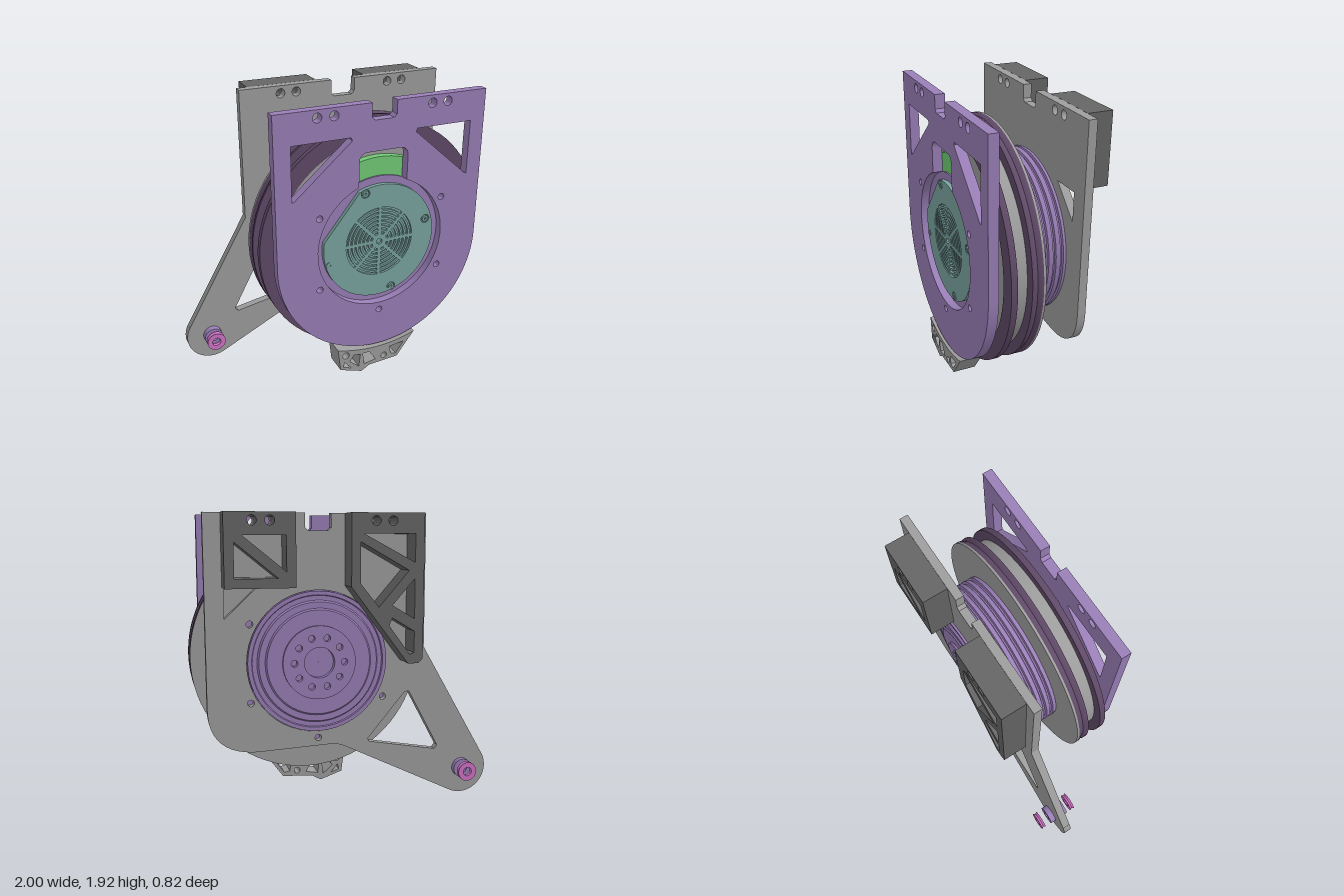
import * as THREE from 'three';
import { toCreasedNormals } from 'three/addons/utils/BufferGeometryUtils.js';

const CX = 0.2, CY = 0.98; // main axle

function mat(name, color) {
  const m = new THREE.MeshStandardMaterial({ color });
  m.name = name;
  return m;
}

export function createModel() {
  const root = new THREE.Group();
  const purple = mat('purple', 0x9a7fb8);
  const plum = mat('plum', 0x604a68);
  const gray = mat('gray', 0x9e9e9e);
  const darkGray = mat('darkGray', 0x666666);
  const green = mat('green', 0x72cc76);
  const teal = mat('teal', 0x7ba5a1);
  const pink = mat('pink', 0xd273c8);

  const add = (name, geo, material) => {
    const mesh = new THREE.Mesh(toCreasedNormals(geo, 0.5), material);
    mesh.name = name;
    root.add(mesh);
    return mesh;
  };
  const poly = (pts) => new THREE.Path(pts.map(([x, y]) => new THREE.Vector2(x, y)));
  const circle = (x, y, r) => new THREE.Path().absarc(x, y, r, 0, Math.PI * 2, false);
  // flat part cut from an outline, lying between z0 and z1
  const plate = (name, material, outline, holes, z0, z1) => {
    const s = new THREE.Shape(outline.getPoints(40));
    s.holes = holes;
    const g = new THREE.ExtrudeGeometry(s, { depth: z1 - z0, bevelEnabled: false, curveSegments: 24 });
    return add(name, g.translate(0, 0, z0), material);
  };
  // turned part about z; profile is [radius, z], counter-clockwise
  const turned = (name, material, profile, x = CX, y = CY, seg = 80) => {
    const g = new THREE.LatheGeometry(profile.map(([r, z]) => new THREE.Vector2(r, z)), seg);
    return add(name, g.rotateX(Math.PI / 2).translate(x, y, 0), material);
  };
  const ring = (name, material, ri, ro, z0, z1, x, y, seg) =>
    turned(name, material, [[ri, z0], [ro, z0], [ro, z1], [ri, z1], [ri, z0]], x, y, seg);
  const polar = (r, a) => [CX + r * Math.cos(a), CY + r * Math.sin(a)];
  const mirror = (pts) => pts.map(([x, y]) => [2 * CX - x, y]);

  const topHoles = () => [-0.25, -0.14, 0.53, 0.64].map((x) => circle(x, 1.88, 0.03));
  const boltHoles = (r) => [1, 5, 7, 9, 11].map((k) => circle(...polar(r, k * Math.PI / 6), 0.022));
  // top edge with the central notch, right to left
  const topEdge = (p) => p.lineTo(0.92, 1.93).lineTo(0.28, 1.93).lineTo(0.28, 1.84)
    .lineTo(0.26, 1.82).lineTo(0.13, 1.82).lineTo(0.11, 1.84).lineTo(0.11, 1.93).lineTo(-0.53, 1.93);

  // front plate with round bottom, keyhole opening and two corner windows
  const front = new THREE.Path().moveTo(0.925, 0.925);
  topEdge(front).lineTo(-0.525, 0.925).absarc(CX, 0.925, 0.725, Math.PI, Math.PI * 2, false);
  const a0 = Math.acos(0.17 / 0.45);
  const keyhole = new THREE.Path().moveTo(...polar(0.45, a0)).lineTo(0.37, 1.56)
    .quadraticCurveTo(0.37, 1.62, 0.31, 1.62).lineTo(0.09, 1.62)
    .quadraticCurveTo(0.03, 1.62, 0.03, 1.56).lineTo(...polar(0.45, Math.PI - a0))
    .absarc(CX, CY, 0.45, Math.PI - a0, Math.PI * 2 + a0, false);
  const corner = [[-0.42, 1.73], [-0.03, 1.73], [-0.02, 1.71], [-0.4, 1.38], [-0.42, 1.37]];
  plate('frontPlate', purple, front,
    [keyhole, poly(corner), poly(mirror(corner)), ...topHoles(), ...boltHoles(0.505)], 0.335, 0.4);

  // green spacer and purple seat for the grille
  ring('spacerRing', green, 0.4, 0.575, 0.285, 0.334);
  ring('grilleSeat', purple, 0.001, 0.45, 0.3, 0.345);

  // teal grille: backing disc and slotted face, with one flattened side
  const disc = () => {
    const p = new THREE.Path().absarc(CX, CY, 0.4, Math.PI * 0.95, Math.PI * 2.62, false);
    p.closePath();
    return p;
  };
  const slots = [];
  for (let i = 0; i < 7; i++) {
    const r0 = 0.053 + i * 0.029, r1 = r0 + 0.015;
    for (let k = 0; k < 8; k++) {
      const gap = 0.011 / r0, s = k * Math.PI / 4 + gap, e = (k + 1) * Math.PI / 4 - gap;
      slots.push(new THREE.Path().absarc(CX, CY, r1, s, e, false).absarc(CX, CY, r0, e, s, true));
    }
  }
  const screws = [[0.09, 1.335], [-0.16, 0.88], [0.3, 0.62], [0.54, 1.08]];
  plate('grilleBack', teal, disc(), [], 0.345, 0.358);
  plate('grilleFace', teal, disc(),
    [...slots, circle(CX, CY, 0.02), ...screws.map(([x, y]) => circle(x, y, 0.03))], 0.358, 0.374);
  screws.forEach(([x, y]) => ring('grilleScrew', teal, 0.008, 0.022, 0.358, 0.378, x, y, 16));

  // spool: gray core between two plum flanges
  ring('spoolCore', gray, 0.4, 0.69, 0.09, 0.284);
  ring('spoolDrum', gray, 0.6, 0.73, 0.15, 0.255);
  ring('frontFlange', plum, 0.69, 0.8, 0.25, 0.29);
  turned('rearFlange', plum, [[0.6, 0.085], [0.8, 0.085], [0.8, 0.1], [0.79, 0.12], [0.8, 0.14],
    [0.8, 0.158], [0.6, 0.158], [0.6, 0.085]]);
  ring('rearFlangeFace', gray, 0.4, 0.8, 0.07, 0.085);

  // ribbed purple drum
  const rib = [[0.4, -0.195], [0.548, -0.195]];
  for (let z = -0.165; z < 0.05; z += 0.05) {
    rib.push([0.548, z - 0.012], [0.535, z - 0.006], [0.535, z + 0.004], [0.552, z + 0.01]);
  }
  turned('ribbedDrum', purple, [...rib, [0.548, 0.07], [0.4, 0.07], [0.4, -0.195]]);

  // back plate with swing arm
  const back = new THREE.Path().moveTo(0.92, 0.7);
  topEdge(back).lineTo(-0.53, 1.05).lineTo(-0.975, 0.28)
    .absarc(-0.82, 0.19, 0.18, Math.PI * 5 / 6, Math.PI * 1.645, false)
    .lineTo(0.02, 0.4).quadraticCurveTo(0.06, 0.42, 0.12, 0.42).lineTo(0.6, 0.4)
    .quadraticCurveTo(0.92, 0.4, 0.92, 0.7);
  const armWindow = poly([[-0.43, 0.75], [-0.4, 0.75], [-0.14, 0.44], [-0.15, 0.42], [-0.62, 0.335], [-0.64, 0.36]]);
  plate('backPlate', gray, back, [armWindow, circle(CX, CY, 0.465), circle(-0.82, 0.19, 0.03),
    poly([[0.8, 1.46], [0.8, 1.27], [0.6, 1.46]]), ...topHoles(), ...boltHoles(0.51)], -0.25, -0.195);

  // stepped hub showing through the back plate
  turned('rearHub', purple, [[0.23, -0.283], [0.34, -0.283], [0.35, -0.272], [0.39, -0.272], [0.4, -0.255],
    [0.43, -0.255], [0.435, -0.265], [0.46, -0.265], [0.46, -0.18], [0.1, -0.18]]);
  plate('hubBoss', purple, circle(CX, CY, 0.24), [circle(CX, CY, 0.1),
    ...Array.from({ length: 10 }, (_, i) => circle(...polar(0.165, i * Math.PI / 5), 0.022))], -0.3, -0.26);
  ring('hubFloor', purple, 0.001, 0.3, -0.26, -0.19);

  // dark rear brackets, one long and one square
  plate('longBracket', darkGray,
    poly([[-0.46, 1.93], [-0.46, 1], [-0.43, 0.97], [-0.36, 0.97], [0.02, 1.47], [0.02, 1.93]]),
    [circle(-0.25, 1.88, 0.03), circle(-0.14, 1.88, 0.03),
      poly([[-0.4, 1.8], [-0.4, 1.62], [-0.06, 1.8]]),
      poly([[-0.04, 1.75], [-0.36, 1.57], [-0.16, 1.34], [-0.04, 1.49]]),
      poly([[-0.4, 1.52], [-0.4, 1.26], [-0.25, 1.35]]),
      poly([[-0.4, 1.18], [-0.4, 1.04], [-0.37, 1.03], [-0.23, 1.22], [-0.25, 1.27]])], -0.415, -0.251);
  plate('squareBracket', darkGray, poly([[0.37, 1.47], [0.81, 1.47], [0.81, 1.93], [0.37, 1.93]]),
    [circle(0.53, 1.88, 0.03), circle(0.64, 1.88, 0.03),
      poly([[0.43, 1.79], [0.43, 1.57], [0.7, 1.79]]),
      poly([[0.75, 1.53], [0.75, 1.75], [0.48, 1.53]])], -0.415, -0.251);

  // small truss foot under the front plate
  const foot = new THREE.Path().moveTo(-0.11, 0.225).lineTo(-0.09, 0.06).lineTo(0.07, 0.005)
    .lineTo(0.13, 0.04).lineTo(0.35, 0.055).lineTo(0.48, 0.23).quadraticCurveTo(0.2, 0.13, -0.11, 0.225);
  plate('trussFoot', gray, foot, [circle(-0.05, 0.165, 0.025), circle(0.245, 0.09, 0.022),
    poly([[-0.07, 0.075], [-0.01, 0.055], [-0.06, 0.115]]),
    poly([[-0.02, 0.11], [0.05, 0.05], [0.06, 0.15], [0.01, 0.155]]),
    poly([[0.08, 0.15], [0.09, 0.06], [0.18, 0.075], [0.13, 0.15]]),
    poly([[0.29, 0.15], [0.3, 0.09], [0.34, 0.08], [0.4, 0.165]])], 0.255, 0.41);

  // roller on the arm: purple bushing and two pink end rings
  ring('armBushing', purple, 0.03, 0.065, -0.29, -0.15, -0.82, 0.19, 32);
  [-0.355, -0.1].forEach((z) => turned('rollerEnd', pink,
    [[0.03, z - 0.015], [0.065, z - 0.015], [0.055, z], [0.065, z + 0.015], [0.03, z + 0.015], [0.03, z - 0.015]],
    -0.82, 0.19, 32));

  return root;
}
